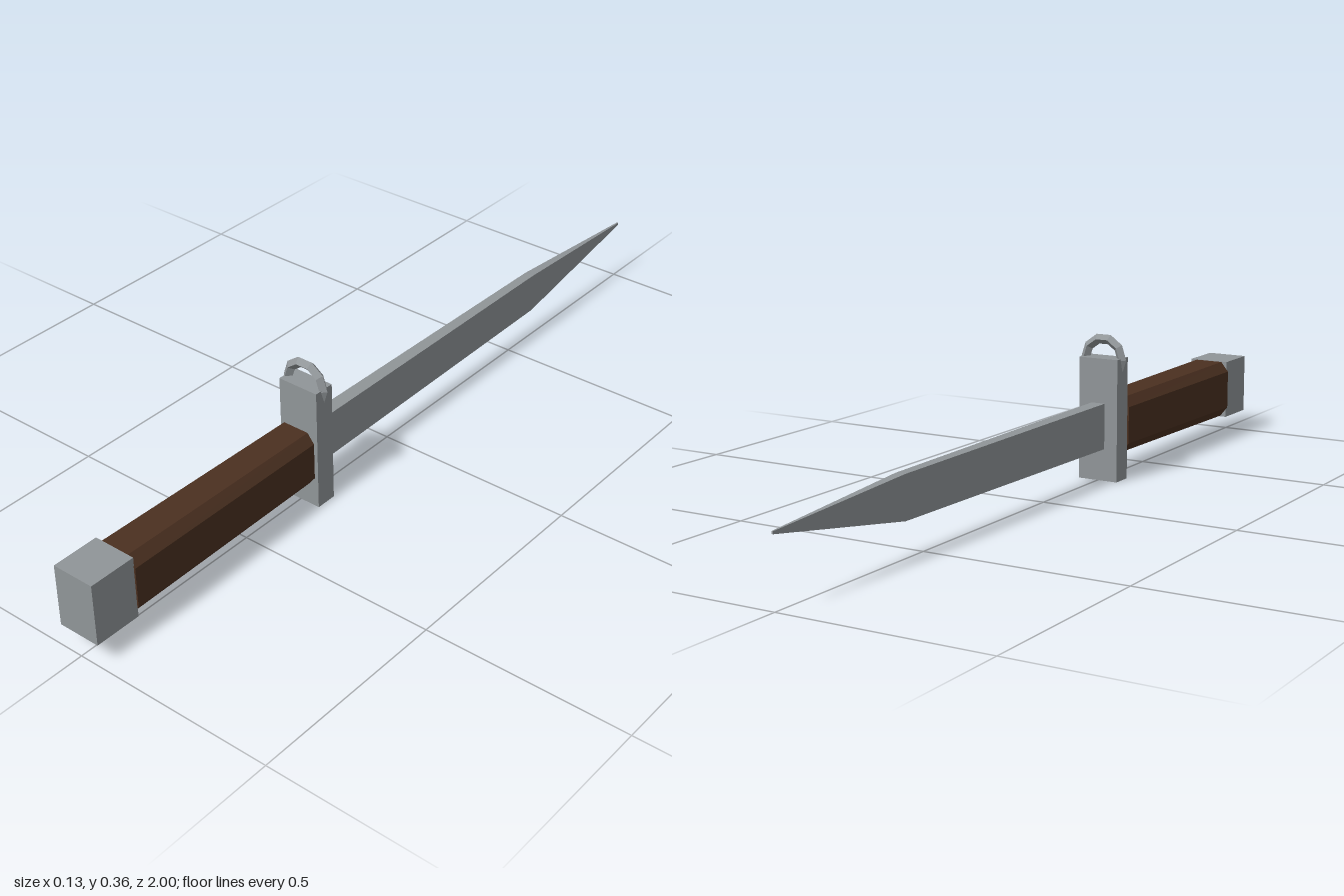
import * as THREE from 'three';

// Solid through convex outlines of [x, y] (counter-clockwise from +z), listed from front to back
function loft(sections) {
  const pos = [];
  const tri = (...pts) => pts.forEach((p) => pos.push(p[0], p[1], p[2]));
  const rings = sections.map(({ z, outline }) => outline.map(([x, y]) => [x, y, z]));
  const n = rings[0].length;
  for (let s = 0; s < rings.length - 1; s++) {
    for (let i = 0; i < n; i++) {
      const j = (i + 1) % n;
      const [a, b, c, d] = [rings[s][i], rings[s][j], rings[s + 1][j], rings[s + 1][i]];
      tri(a, d, c);
      tri(a, c, b);
    }
  }
  const first = rings[0], last = rings[rings.length - 1];
  for (let i = 1; i < n - 1; i++) {
    tri(first[0], first[i], first[i + 1]);
    tri(last[0], last[i + 1], last[i]);
  }
  const geo = new THREE.BufferGeometry();
  geo.setAttribute('position', new THREE.Float32BufferAttribute(pos, 3));
  geo.computeVertexNormals();
  return geo;
}

// Rectangle outline, and the same with chamfered corners
const rect = (w, y0, y1) => [[-w, y0], [w, y0], [w, y1], [-w, y1]];
const octagon = (w, y0, y1, cx, cy) => [
  [-w + cx, y0], [w - cx, y0], [w, y0 + cy], [w, y1 - cy],
  [w - cx, y1], [-w + cx, y1], [-w, y1 - cy], [-w, y0 + cy],
];

export function createModel() {
  const group = new THREE.Group();
  const steel = new THREE.MeshStandardMaterial({ color: 0x909598 });
  steel.name = 'steel';
  steel.flatShading = true;
  const wood = new THREE.MeshStandardMaterial({ color: 0x4b3020 });
  wood.name = 'dark wood';
  wood.flatShading = true;

  const add = (name, geo, mat, x = 0, y = 0, z = 0) => {
    const mesh = new THREE.Mesh(geo, mat);
    mesh.name = name;
    mesh.position.set(x, y, z);
    group.add(mesh);
  };

  // Handle
  add('pommel', new THREE.BoxGeometry(0.106, 0.152, 0.116), steel, 0, 0.132, 0.942);
  add('grip', loft([
    { z: 0.885, outline: octagon(0.057, 0.058, 0.207, 0.02, 0.025) },
    { z: 0.325, outline: octagon(0.052, 0.063, 0.201, 0.018, 0.023) },
  ]), wood);

  // Crossguard with the ring set into its top
  add('crossguard', new THREE.BoxGeometry(0.106, 0.305, 0.053), steel, 0, 0.1525, 0.2885);
  add('muzzleRing', new THREE.TorusGeometry(0.0505, 0.0125, 4, 10), steel, 0, 0.301, 0.2885);

  // Blade, tapering to the point
  add('blade', loft([
    { z: 0.265, outline: rect(0.018, 0.08, 0.194) },
    { z: -0.58, outline: rect(0.012, 0.086, 0.187) },
    { z: -1, outline: rect(0.002, 0.154, 0.16) },
  ]), steel);

  return group;
}
